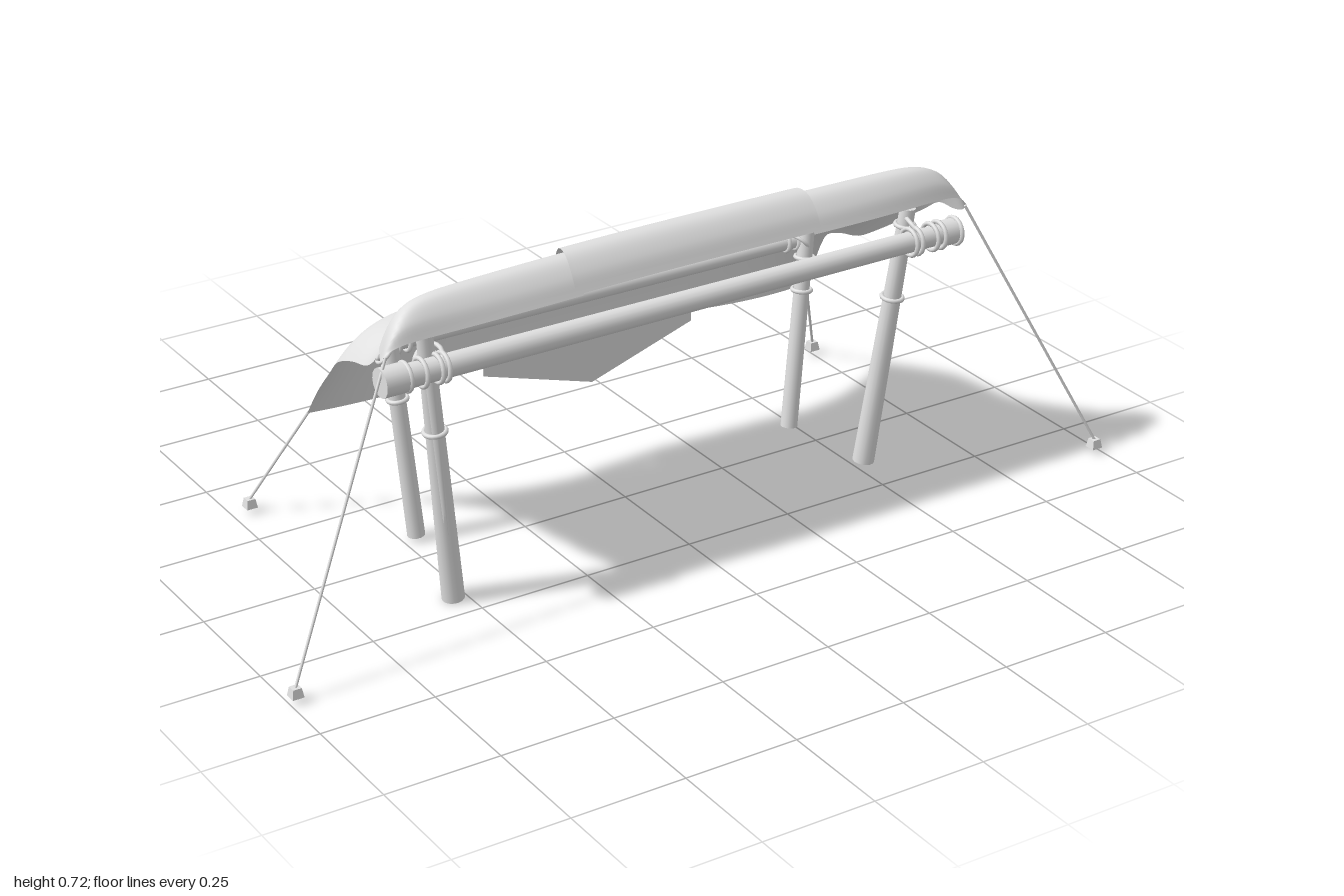
import * as THREE from 'three';

const canvasGrey = new THREE.MeshStandardMaterial({ color: 0xe0e0e0, side: THREE.DoubleSide });
canvasGrey.name = 'pale grey';

const V = (x, y, z) => new THREE.Vector3(x, y, z);

// Canopy profiles, front lip to back hem: [z, y] at the middle, [x, y, z] at the side edges
const middle = [[.258, .645], [.24, .683], [.208, .713], [.175, .713], [.143, .668], [.10, .61], [.04, .572],
  [-.03, .542], [-.10, .532], [-.15, .515], [-.178, .475], [-.183, .40], [-.183, .32]];
const edge = [[.705, .605, .238], [.702, .592, .228], [.695, .588, .205], [.68, .595, .175], [.66, .575, .15],
  [.638, .53, .09], [.622, .495, .04], [.615, .46, -.02], [.618, .44, -.09], [.627, .412, -.152],
  [.638, .372, -.19], [.652, .305, -.235], [.665, .235, -.28]];
const rightX = [.70, .70, .69, .675, .658, .638, .62, .605, .60, .60, .60, .605, .61];

const midCurve = new THREE.CatmullRomCurve3(middle.map(([z, y]) => V(0, y, z)));
const leftCurve = new THREE.CatmullRomCurve3(edge.map(p => V(...p)));
const rightCurve = new THREE.CatmullRomCurve3(edge.map((p, i) => V(-rightX[i], p[1] + (i > 10 ? .01 : 0), p[2])));

// How sharply the cloth turns down toward the side edges, front to back
function droop(t) {
  if (t < .4) return THREE.MathUtils.lerp(34, 14, t / .4);
  if (t < .85) return THREE.MathUtils.lerp(14, 8, (t - .4) / .45);
  return THREE.MathUtils.lerp(8, 2, (t - .85) / .15);
}

// Point on the canopy: s runs -1..1 across, t runs 0..1 front to back
function canopyPoint(s, t, sink) {
  const a = Math.abs(s);
  const m = midCurve.getPoint(t);
  const e = (s < 0 ? rightCurve : leftCurve).getPoint(t);
  const wy = Math.pow(a, droop(t));
  const wz = Math.pow(Math.max(0, (a - .45) / .55), 2);
  const crown = t < .4 ? -.012 * a * a * (s < 0 ? 1.4 : .4) * (1 - wy) : 0;
  const drop = sink * (1 + 1.5 * Math.sin(Math.PI * t)) * (1 - wy);
  return [e.x * a, m.y + (e.y - m.y) * wy + crown - drop, m.z + (e.z - m.z) * wz + drop * t];
}

function canopyPanel(s0, s1, sink) {
  const nu = 48, nv = 60, pos = [], idx = [];
  for (let j = 0; j <= nv; j++)
    for (let i = 0; i <= nu; i++) pos.push(...canopyPoint(s0 + (s1 - s0) * i / nu, j / nv, sink));
  for (let j = 0; j < nv; j++)
    for (let i = 0; i < nu; i++) {
      const a = j * (nu + 1) + i, b = a + nu + 1;
      idx.push(a, a + 1, b, a + 1, b + 1, b);
    }
  const g = new THREE.BufferGeometry();
  g.setAttribute('position', new THREE.Float32BufferAttribute(pos, 3));
  g.setIndex(idx);
  g.computeVertexNormals();
  return g;
}

export function createModel() {
  const root = new THREE.Group();

  function add(name, geometry) {
    const m = new THREE.Mesh(geometry, canvasGrey);
    m.name = name;
    root.add(m);
    return m;
  }

  // Tapered round bar between two points
  function pole(name, a, b, ra, rb, sides = 16) {
    const m = add(name, new THREE.CylinderGeometry(rb, ra, a.distanceTo(b), sides));
    m.position.copy(a).add(b).multiplyScalar(.5);
    m.quaternion.setFromUnitVectors(V(0, 1, 0), b.clone().sub(a).normalize());
  }

  // Rope ring wrapped around a bar
  function ring(name, centre, axis, radius, tube = .005) {
    const m = add(name, new THREE.TorusGeometry(radius, tube, 8, 20));
    m.position.copy(centre);
    m.quaternion.setFromUnitVectors(V(0, 0, 1), axis.clone().normalize());
  }

  // Post with rope rings at the given heights
  function post(name, a, b, ra, rb, heights) {
    pole(name, a, b, ra, rb);
    for (const y of heights) {
      const k = (y - a.y) / (b.y - a.y);
      ring(name + 'Lashing', a.clone().lerp(b, k), b.clone().sub(a), ra + (rb - ra) * k + .003, .005);
    }
  }

  // Canopy: the middle panel overlaps the two side panels, with a pointed flap hanging at the back
  add('canopyRightPanel', canopyPanel(-1, -.37, .005));
  add('canopyMiddlePanel', canopyPanel(-.395, .445, 0));
  add('canopyLeftPanel', canopyPanel(.42, 1, .005));
  const flap = new THREE.Shape();
  [[-.24, .325], [-.24, .275], [.03, .192], [.285, .275], [.285, .33]].forEach(([x, y], i) =>
    i ? flap.lineTo(x, y) : flap.moveTo(x, y));
  add('backFlap', new THREE.ExtrudeGeometry(flap, { depth: .003, bevelEnabled: false })).position.z = -.184;

  // Front posts lean apart toward the top
  post('frontRightPost', V(-.53, .003, .185), V(-.597, .625, .215), .024, .017, [.40, .57]);
  post('frontLeftPost', V(.53, .003, .137), V(.585, .61, .191), .024, .017, [.40, .57]);
  // Split timber strips along the front posts
  pole('frontRightStrip', V(-.55, .13, .205), V(-.592, .54, .222), .007, .012, 6);
  pole('frontLeftStrip', V(.55, .06, .118), V(.582, .55, .178), .006, .011, 6);
  pole('frontRightBrace', V(-.515, .03, .172), V(-.572, .52, .20), .012, .010, 8);

  // Rear posts
  post('rearRightPost', V(-.47, .01, -.076), V(-.512, .49, -.094), .019, .017, [.33, .38, .405]);
  post('rearLeftPost', V(.48, .01, -.076), V(.53, .475, -.094), .019, .017, [.33, .38, .405]);

  // Front beam with thicker bound ends
  const along = V(1, 0, 0);
  pole('frontBeam', V(-.70, .555, .24), V(.675, .555, .24), .025, .022);
  pole('frontBeamRightEnd', V(-.71, .555, .24), V(-.655, .555, .24), .031, .031);
  pole('frontBeamLeftEnd', V(.63, .555, .24), V(.675, .555, .24), .028, .028);
  for (const x of [-.655, -.62, -.585, -.57, .555, .57, .61, .63, .672])
    ring('frontBeamLashing', V(x, .555, .24), along, .029, .005);

  // Rear beam
  pole('rearBeam', V(-.55, .445, -.115), V(.55, .438, -.115), .019, .017);
  for (const x of [-.53, -.485, -.46, .485, .51, .54])
    ring('rearBeamLashing', V(x, .441, -.115), along, .021, .005);

  // Diagonal knots where beams meet posts
  for (const s of [-1, 1]) {
    ring('frontKnot', V(s * .59, .565, .218), V(s, .8, .3), .034, .005);
    ring('rearKnot', V(s * .515, .435, -.105), V(s, .8, -.3), .027, .004);
  }

  // Guy ropes and pegs
  const guys = [
    [V(.70, .605, .238), V(.985, .03, .372)], [V(-.695, .605, .238), V(-.985, .03, .372)],
    [V(.663, .237, -.279), V(.75, .03, -.37)], [V(-.608, .247, -.279), V(-.71, .03, -.37)]];
  for (const [top, foot] of guys) {
    pole('guyRope', foot, top, .003, .003, 6);
    const peg = new THREE.CylinderGeometry(.013, .018, .02, 4).toNonIndexed();
    peg.rotateY(Math.PI / 4);
    peg.computeVertexNormals();
    add('peg', peg).position.set(foot.x, .022, foot.z);
  }

  return root;
}
